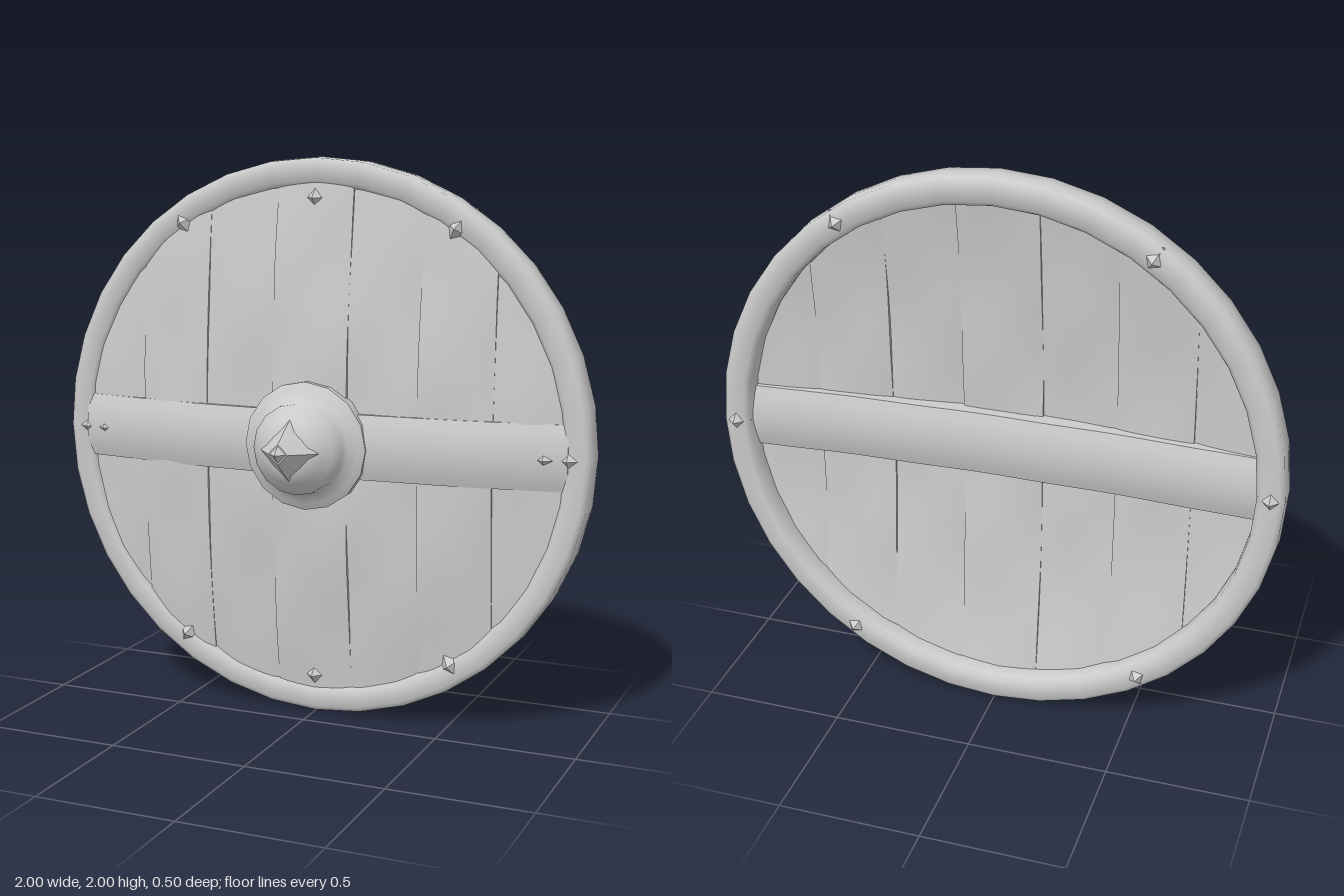
import * as THREE from 'three';
import { toCreasedNormals } from 'three/addons/utils/BufferGeometryUtils.js';

const material = new THREE.MeshStandardMaterial({ color: 0xcccccc });
const BOARD_RADIUS = 0.93;

// Depth of the shallow dome's front at a distance r from the centre
const dome = (r) => -0.043 - 0.082 * r * r;

// Gentle hand-hewn unevenness
const wobble = (x, y, k) => 0.007 * Math.sin(x * 13 + k * 2.3) * Math.sin(y * 9 + k * 1.7);

function add(parent, name, geometry) {
  const mesh = new THREE.Mesh(geometry, material);
  mesh.name = name;
  parent.add(mesh);
  return mesh;
}

// Bends a unit box: rule maps (u, v in -0.5..0.5, isFront) to a point
function bentBox(nx, ny, rule) {
  const geo = new THREE.BoxGeometry(1, 1, 1, nx, ny, 1);
  const p = geo.attributes.position;
  for (let i = 0; i < p.count; i++) {
    p.setXYZ(i, ...rule(p.getX(i), p.getY(i), p.getZ(i) > 0));
  }
  geo.computeVertexNormals();
  return geo;
}

function lathe(points, segments, crease) {
  const geo = new THREE.LatheGeometry(points.map(([r, z]) => new THREE.Vector2(r, z)), segments);
  geo.rotateX(Math.PI / 2);
  return toCreasedNormals(geo, crease);
}

// Four-sided stud pointing along +z (dir 1) or -z (dir -1), stretched radially by length
function rivet(parent, x, y, z, dir, length = 1) {
  const geo = new THREE.ConeGeometry(0.05, 0.05, 4);
  geo.rotateX(dir * Math.PI / 2);
  const mesh = add(parent, 'rivet', toCreasedNormals(geo, 1.2));
  mesh.position.set(x, y, z);
  mesh.rotation.z = Math.atan2(y, x);
  mesh.scale.x = length;
}

export function createModel() {
  const model = new THREE.Group();
  model.name = 'roundShield';
  const shield = new THREE.Group();
  shield.name = 'shield';
  shield.position.y = 1;
  model.add(shield);

  // Planks, trimmed to the circle, butted together and slightly uneven
  const seams = [-0.925, -0.67, -0.405, -0.14, 0.14, 0.4, 0.66, 0.925];
  for (let k = 0; k < seams.length - 1; k++) {
    const mid = (seams[k] + seams[k + 1]) / 2, width = seams[k + 1] - seams[k] + 0.003;
    const step = 0.004 * (k % 2 ? 1 : -1);
    add(shield, 'plank', bentBox(8, 20, (u, v, isFront) => {
      const x = mid + u * width;
      const y = 2 * v * Math.sqrt(Math.max(0, BOARD_RADIUS ** 2 - x * x));
      const r = Math.hypot(x, y);
      const seam = 0.006 * Math.pow(Math.abs(2 * u), 4);
      const offset = (step + wobble(x, y, k)) * (1 - 0.6 * r * r);
      return [x, y, isFront ? dome(r) + offset - seam : dome(r) - 0.045 - offset + seam];
    }));
  }

  // Cross bars with rounded faces: the front one follows the dome, the back one is nearly straight
  const bar = (name, frontAt, backAt, roundFront, roundBack) =>
    add(shield, name, bentBox(24, 8, (u, v, isFront) => {
      const x = u * 1.84, y = v * 0.23 + 0.005;
      const edge = 4 * v * v;
      const z = isFront ? frontAt(x) - roundFront * edge : backAt(x) + roundBack * edge;
      return [x, y, z + 0.5 * wobble(x, 0.2, 3)];
    }));
  bar('frontBar', (x) => dome(x) + 0.03 - 0.012 * x * x, (x) => dome(x) - 0.02, 0.022, 0);
  bar('backBar', (x) => dome(x) - 0.03, (x) => -0.155 - 0.04 * x * x, 0, 0.022);

  // Rim, nearly square in section with softened edges
  add(shield, 'rim', lathe([
    [0.9, -0.16], [0.903, -0.205], [0.92, -0.222], [0.98, -0.222], [0.997, -0.21], [1, -0.16],
    [0.997, -0.112], [0.98, -0.1], [0.92, -0.1], [0.903, -0.118], [0.9, -0.16],
  ], 36, 1.2));

  // Boss with a sloping flange, collar and shoulder
  add(shield, 'boss', lathe([
    [0.225, -0.07], [0.228, -0.012], [0.205, 0.002], [0.175, 0.018], [0.163, 0.035], [0.16, 0.068],
    [0.143, 0.083], [0.115, 0.115], [0.08, 0.14], [0, 0.15],
  ], 16, 1),
  );

  // Spike with four ridges, blunt at the tip
  const spike = new THREE.CylinderGeometry(0.035, 0.145, 0.15, 8, 4);
  spike.rotateX(Math.PI / 2);
  const p = spike.attributes.position;
  for (let i = 0; i < p.count; i++) {
    const a = Math.atan2(p.getY(i), p.getX(i));
    const s = 0.88 + 0.12 * Math.cos(4 * a);
    p.setXY(i, p.getX(i) * s, p.getY(i) * s + (p.getZ(i) + 0.075) * 0.06);
  }
  add(shield, 'spike', toCreasedNormals(spike, 1)).position.z = 0.145;
  add(shield, 'spikeTip', new THREE.OctahedronGeometry(0.045)).position.set(0, 0.01, 0.205);

  // Studs around the rim, on both faces
  for (const degrees of [0, 56, 124, 180, 236, 304]) {
    const a = THREE.MathUtils.degToRad(degrees);
    const c = Math.cos(a), s = Math.sin(a);
    rivet(shield, 0.95 * c, 0.95 * s, -0.226, -1);
    rivet(shield, 0.92 * c, 0.92 * s, -0.1, 1, 1.3);
  }
  // Inner studs at the bar ends and the top and bottom of the boards
  for (const side of [-1, 1]) {
    rivet(shield, side * 0.84, 0, -0.09, 1, 1.5);
    rivet(shield, 0, side * 0.86, -0.098, 1);
  }
  return model;
}
